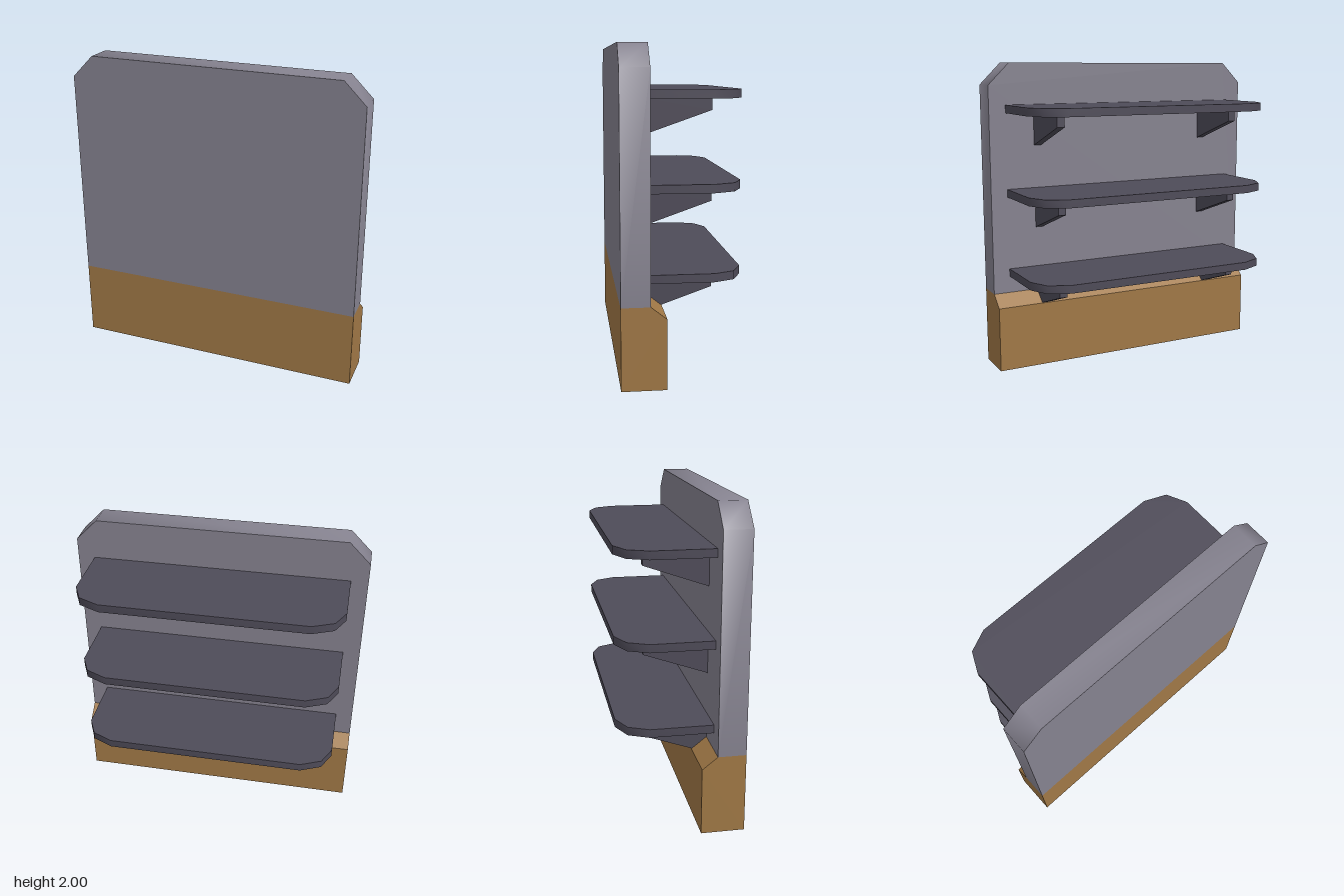
import * as THREE from 'three';
import { toCreasedNormals } from 'three/addons/utils/BufferGeometryUtils.js';

const panelMat = new THREE.MeshStandardMaterial({ color: 0x85828f });
const shelfMat = new THREE.MeshStandardMaterial({ color: 0x4e4b58 });
const baseMat = new THREE.MeshStandardMaterial({ color: 0xa07846, side: THREE.DoubleSide });

const FRONT = 0.375, WALL = 0.2, BASE_TOP = 0.5, HALF = 0.95;

function extrude(points, depth) {
  const shape = new THREE.Shape(points.map(([x, y]) => new THREE.Vector2(x, y)));
  return new THREE.ExtrudeGeometry(shape, { depth, bevelEnabled: false });
}

// Extrudes a [z, y] profile along x, centred on x = 0
function extrudeSide(profile, width) {
  return extrude(profile.map(([z, y]) => [-z, y]), width)
    .translate(0, 0, -width / 2)
    .rotateY(Math.PI / 2);
}

function mesh(name, geometry, material) {
  const m = new THREE.Mesh(geometry, material);
  m.name = name;
  return m;
}

// Drops the triangles that lie flat at one of the given heights
function removeLevels(geometry, levels) {
  const p = geometry.toNonIndexed().attributes.position;
  const kept = [];
  for (let i = 0; i < p.count; i += 3) {
    const flat = levels.some(h => [0, 1, 2].every(k => Math.abs(p.getY(i + k) - h) < 1e-4));
    if (flat) continue;
    for (let k = 0; k < 3; k++) kept.push(p.getX(i + k), p.getY(i + k), p.getZ(i + k));
  }
  const out = new THREE.BufferGeometry();
  out.setAttribute('position', new THREE.Float32BufferAttribute(kept, 3));
  out.computeVertexNormals();
  return out;
}

export function createModel() {
  const model = new THREE.Group();
  model.name = 'shelfUnit';

  // Upright panel with cut top corners
  const panel = extrude([
    [-HALF, BASE_TOP], [HALF, BASE_TOP], [HALF, 1.86], [0.81, 2], [-0.81, 2], [-HALF, 1.86],
  ], FRONT - WALL).translate(0, 0, WALL);
  model.add(mesh('backPanel', toCreasedNormals(panel, Math.PI / 3), panelMat));

  // Hollow base, open underneath, with a sloped rear top edge
  const base = extrudeSide([
    [FRONT, 0], [0.105, 0], [0.105, 0.425], [WALL, BASE_TOP], [FRONT, BASE_TOP],
  ], HALF * 2);
  model.add(mesh('base', removeLevels(base, [0, BASE_TOP]), baseMat));

  // Shelf board with rounded outer corners, top surface at y = 0
  const half = [[0.84, WALL], [0.84, -0.19], [0.78, -0.315], [0.645, -0.375]];
  const outline = [...half, ...half.map(([x, z]) => [-x, z]).reverse()];
  const board = toCreasedNormals(extrude(outline, 0.052).rotateX(Math.PI / 2), Math.PI / 3);

  // Tapered bracket under the board
  const bracket = extrudeSide([
    [WALL, -0.052], [WALL, -0.265], [-0.2, -0.125], [-0.2, -0.052],
  ], 0.05);

  [0.66, 1.19, 1.735].forEach((y) => {
    const shelf = new THREE.Group();
    shelf.name = 'shelf';
    shelf.position.y = y;
    shelf.add(mesh('shelfBoard', board, shelfMat));
    for (const side of [-1, 1]) {
      const b = mesh(side > 0 ? 'leftBracket' : 'rightBracket', bracket, shelfMat);
      b.position.x = side * 0.625;
      shelf.add(b);
    }
    model.add(shelf);
  });

  return model;
}
